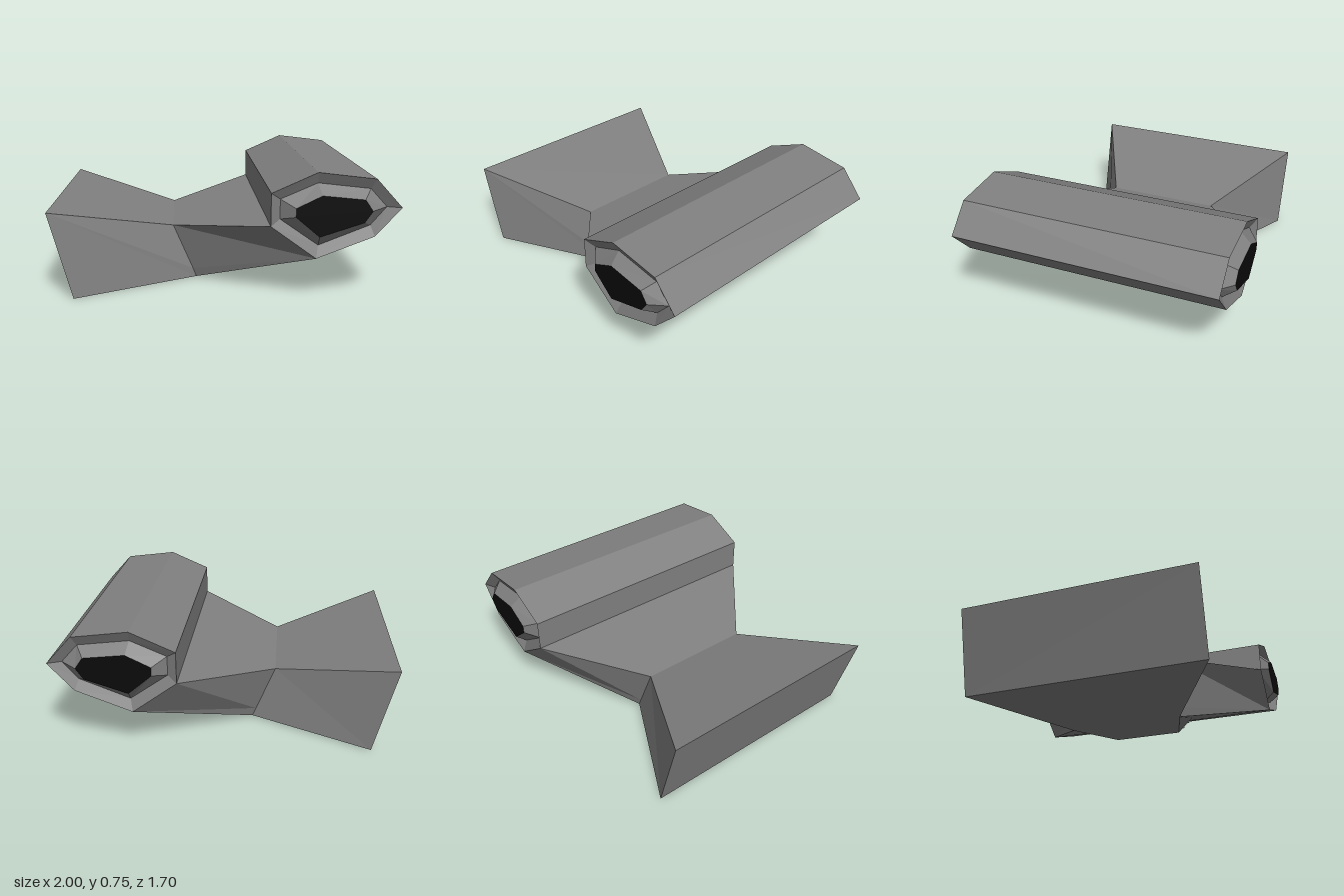
import * as THREE from 'three';

const V = (x, y, z) => new THREE.Vector3(x, y, z);
const skin = new THREE.MeshStandardMaterial({ color: 0x808080, flatShading: true });
const gums = new THREE.MeshStandardMaterial({ color: 0x606060, flatShading: true, side: THREE.DoubleSide });
const black = new THREE.MeshStandardMaterial({ color: 0x0a0a0a, flatShading: true });
const enamel = new THREE.MeshStandardMaterial({ color: 0xcccccc, flatShading: true });

const flip = (p) => V(p.x, p.y, -p.z);
const mirror = (faces) => faces.map((f) => f.map(flip).reverse());

// Flat-shaded mesh from convex polygons, each cut into a fan
function polyMesh(name, faces, material) {
  const pts = [];
  for (const f of faces) {
    for (let i = 1; i < f.length - 1; i++) pts.push(f[0], f[i], f[i + 1]);
  }
  const geo = new THREE.BufferGeometry().setFromPoints(pts);
  geo.computeVertexNormals();
  const mesh = new THREE.Mesh(geo, material);
  mesh.name = name;
  return mesh;
}

// Quads between two matching loops
function bridge(a, b) {
  return a.map((p, i) => {
    const j = (i + 1) % a.length;
    return [p, a[j], b[j], b[i]];
  });
}

const loop = (xy, z) => xy.map(([x, y]) => V(x, y, z));

export function createModel() {
  const model = new THREE.Group();
  model.name = 'hammerhead';

  // Wide head: one heptagonal section swept across z
  const outline = [[0.26, 0.44], [0.52, 0.25], [0.85, 0.375], [1, 0.54], [0.85, 0.705], [0.52, 0.745], [0.26, 0.63]];
  const socket = [[0.315, 0.475], [0.535, 0.32], [0.83, 0.435], [0.92, 0.54], [0.825, 0.645], [0.525, 0.68], [0.315, 0.59]];
  const pupil = [[0.395, 0.5], [0.53, 0.385], [0.78, 0.465], [0.825, 0.53], [0.78, 0.595], [0.54, 0.62], [0.395, 0.55]];
  const rimZ = 0.815;
  const rim = loop(outline, rimZ);
  const groove = loop(socket, 0.78);
  const cap = loop(pupil, 0.85);
  // The first side is left open where the neck joins
  model.add(polyMesh('head', bridge(rim.map(flip), rim).slice(1), skin));

  // Sunken eye sockets, raised eyelids and flat eyes
  const sides = [['left', (f) => f], ['right', mirror]];
  for (const [side, place] of sides) {
    model.add(polyMesh(side + 'EyeSocket', place(bridge(rim, groove)), skin));
    model.add(polyMesh(side + 'Eyelid', place(bridge(groove, cap)), skin));
    model.add(polyMesh(side + 'Eye', place([cap]), black));
  }

  // Corners of the left half of the body
  const tailTop = V(-1, 0.51, 0.72), tailBottom = V(-0.865, 0, 0.72);
  const waistTop = V(-0.29, 0.34, 0.358), waistSide = V(-0.17, 0.06, 0.36), waistBottom = V(-0.15, 0.005, 0.355);
  const neckTop = V(0.26, 0.44, rimZ), neckBottom = V(0.52, 0.25, rimZ);
  const mouthCorner = V(0.21, 0.137, 0.34), upperLip = V(0.41, 0.198, 0);
  const lowerLip = V(0.3, 0.08, 0.22), lowerLipMid = V(0.325, 0.09, 0);

  const half = [
    [tailTop, tailBottom, waistBottom, waistSide, waistTop],
    [waistTop, waistSide, neckBottom, neckTop],
    [waistSide, waistBottom, neckBottom],
    [waistBottom, mouthCorner, neckBottom],
    [neckBottom, mouthCorner, upperLip],
    [waistBottom, lowerLip, mouthCorner],
    [waistBottom, lowerLipMid, lowerLip],
  ];
  const middle = [
    [tailTop, waistTop, flip(waistTop), flip(tailTop)],
    [waistTop, neckTop, flip(neckTop), flip(waistTop)],
    [tailBottom, flip(tailBottom), flip(waistBottom), waistBottom],
    [tailTop, flip(tailTop), flip(tailBottom), tailBottom],
    [neckBottom, upperLip, flip(neckBottom)],
    [waistBottom, flip(waistBottom), lowerLipMid],
  ];
  model.add(polyMesh('body', [...half, ...mirror(half), ...middle], skin));

  // Mouth cavity narrowing back into the throat
  const lips = [mouthCorner, upperLip, flip(mouthCorner), flip(lowerLip), lowerLipMid, lowerLip];
  const throatCentre = V(0.16, 0.16, 0);
  const throat = lips.map((p) => V(throatCentre.x, p.y, p.z * 0.75).lerp(throatCentre, 0.3));
  model.add(polyMesh('mouth', [...bridge(lips, throat), throat], gums));

  // Rows of pointed teeth just inside the lips
  const teeth = new THREE.Group();
  teeth.name = 'teeth';
  function addTooth(name, base, radius, height, down) {
    const geo = new THREE.ConeGeometry(radius, height, 4);
    geo.translate(0, height / 2 - 0.008, 0);
    const tooth = new THREE.Mesh(geo, enamel);
    tooth.name = name;
    tooth.position.copy(base);
    if (down) tooth.rotation.x = Math.PI;
    teeth.add(tooth);
  }
  for (let i = -6; i <= 6; i++) {
    const t = Math.abs(i) / 6.8;
    const base = upperLip.clone().lerp(mouthCorner, t);
    base.z *= Math.sign(i);
    base.x -= 0.025;
    addTooth('upperTooth', base, 0.023, 0.085 - 0.045 * t, true);
  }
  for (let i = -4; i <= 4; i++) {
    const base = lowerLipMid.clone().lerp(lowerLip, Math.abs(i) / 4);
    base.z *= Math.sign(i);
    base.x -= 0.025;
    base.y += 0.012;
    addTooth('lowerTooth', base, 0.018, 0.055, false);
  }
  for (const s of [-1, 1]) {
    for (const t of [0.35, 0.7]) {
      const base = lowerLip.clone().lerp(mouthCorner, t);
      base.x -= 0.015;
      base.z *= s;
      addTooth('lowerTooth', base, 0.014, 0.04 - 0.02 * t, false);
    }
  }
  model.add(teeth);
  return model;
}
